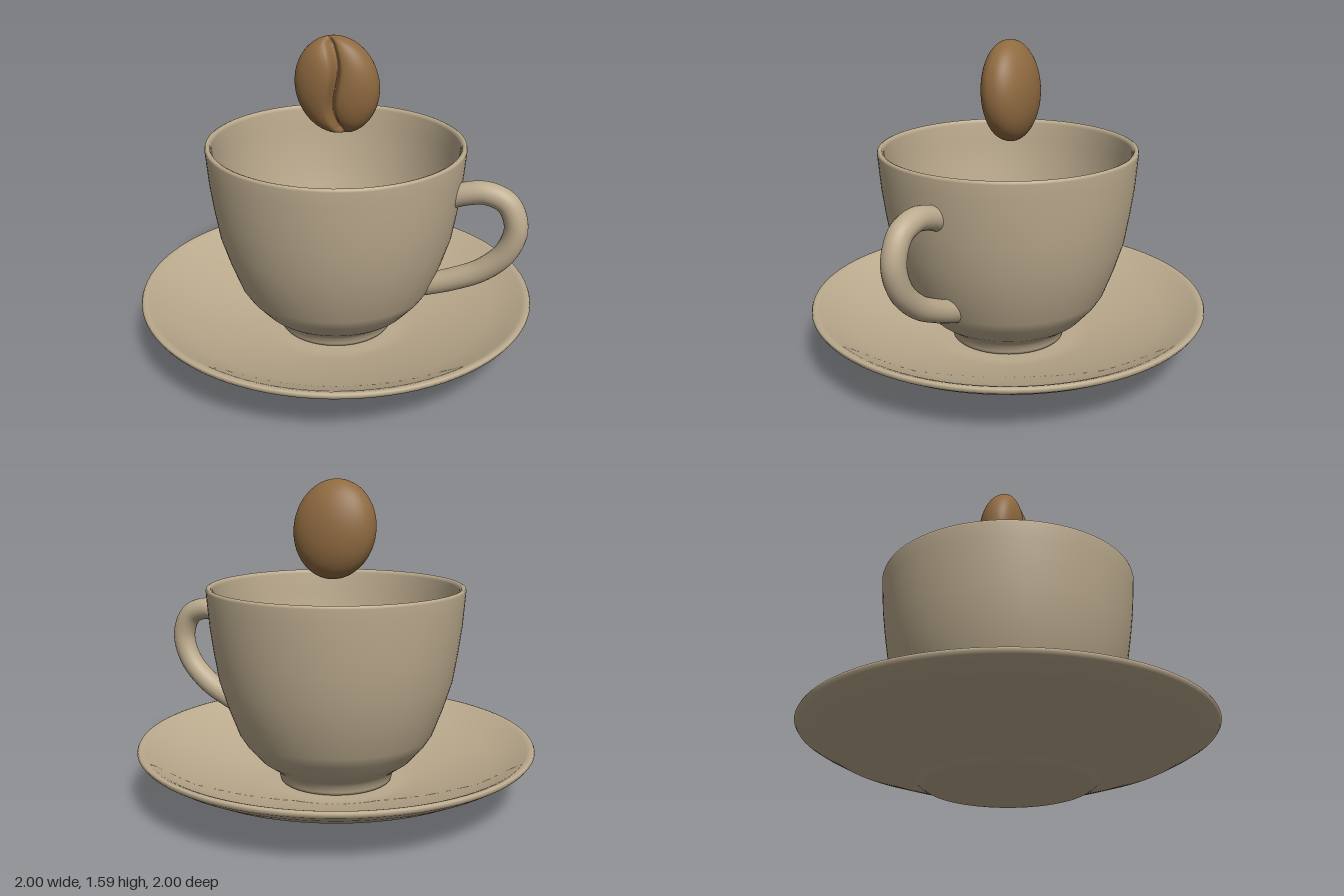
import * as THREE from 'three';
import { mergeVertices } from 'three/addons/utils/BufferGeometryUtils.js';

const ceramic = new THREE.MeshStandardMaterial({ color: 0xbcab8e });
ceramic.name = 'beige ceramic';
const roast = new THREE.MeshStandardMaterial({ color: 0x8f6a40 });
roast.name = 'roasted brown';

function part(name, geometry, material) {
  const mesh = new THREE.Mesh(geometry, material);
  mesh.name = name;
  return mesh;
}

// Closed profile of [radius, height], from the underside out, over the rim and back in
const turned = (profile) =>
  new THREE.LatheGeometry(profile.map(([r, y]) => new THREE.Vector2(r, y)), 96);

function handle() {
  const group = new THREE.Group();
  group.name = 'handle';
  const points = [
    [0.575, 0.845], [0.66, 0.877], [0.76, 0.893], [0.86, 0.855], [0.908, 0.74],
    [0.87, 0.605], [0.76, 0.49], [0.61, 0.41], [0.44, 0.345],
  ].map(([x, y]) => new THREE.Vector3(x, y, 0));
  const curve = new THREE.CatmullRomCurve3(points);
  const radius = 0.057;
  group.add(part('handleLoop', new THREE.TubeGeometry(curve, 64, radius, 24), ceramic));
  // Flat discs closing both ends
  for (const t of [0, 1]) {
    const cap = part('handleEnd', new THREE.CircleGeometry(radius, 24), ceramic);
    const outward = curve.getTangentAt(t).multiplyScalar(t ? 1 : -1);
    cap.quaternion.setFromUnitVectors(new THREE.Vector3(0, 0, 1), outward);
    cap.position.copy(curve.getPointAt(t));
    group.add(cap);
  }
  return group;
}

// Ellipsoid with a flatter front, cut by an S-shaped crease
function bean() {
  let geometry = new THREE.SphereGeometry(1, 160, 100).rotateX(Math.PI / 2);
  geometry.deleteAttribute('uv');
  geometry.deleteAttribute('normal');
  geometry = mergeVertices(geometry, 1e-5);
  const pos = geometry.attributes.position;
  for (let i = 0; i < pos.count; i++) {
    const x = pos.getX(i) * 0.207;
    const v = pos.getY(i);
    const depth = pos.getZ(i);
    let z = depth * 0.128;
    if (depth > 0) {
      z = Math.pow(depth, 0.8) * 0.12;
      const offset = x - 0.028 * Math.sin(v * Math.PI);
      const crease = Math.exp(-Math.pow(offset / 0.018, 2));
      const hollow = Math.exp(-Math.pow(offset / 0.055, 2));
      z -= (0.045 * crease + 0.018 * hollow) * Math.min(1, depth * 2);
    }
    pos.setXYZ(i, x, v * 0.245, z);
  }
  geometry.computeVertexNormals();
  const mesh = part('coffeeBean', geometry, roast);
  mesh.position.set(0, 1.342, -0.018);
  mesh.rotation.set(0.08, 0.12, 0.13);
  return mesh;
}

export function createModel() {
  const model = new THREE.Group();
  model.name = 'coffeeCup';

  model.add(part('saucer', turned([
    [0, 0], [0.37, 0], [0.395, 0.003], [0.415, 0.015], [0.435, 0.032], [0.5, 0.052],
    [0.66, 0.102], [0.84, 0.162], [0.94, 0.215], [0.99, 0.247], [1, 0.262], [0.995, 0.273],
    [0.98, 0.276], [0.96, 0.268], [0.9, 0.235], [0.8, 0.19], [0.6, 0.125], [0.42, 0.078],
    [0.34, 0.065], [0, 0.065],
  ]), ceramic));

  model.add(part('cup', turned([
    [0, 0.066], [0.27, 0.066], [0.285, 0.07], [0.29, 0.085], [0.295, 0.115], [0.32, 0.14],
    [0.39, 0.19], [0.46, 0.27], [0.495, 0.325], [0.545, 0.46], [0.588, 0.6], [0.612, 0.75],
    [0.628, 0.87], [0.637, 0.98], [0.642, 1.05], [0.639, 1.061], [0.63, 1.065], [0.618, 1.06],
    [0.612, 1.045], [0.605, 0.95], [0.595, 0.85], [0.578, 0.74], [0.553, 0.6], [0.51, 0.46],
    [0.46, 0.34], [0.42, 0.28], [0.36, 0.215], [0.28, 0.165], [0.16, 0.14], [0, 0.135],
  ]), ceramic));

  model.add(handle(), bean());
  return model;
}
